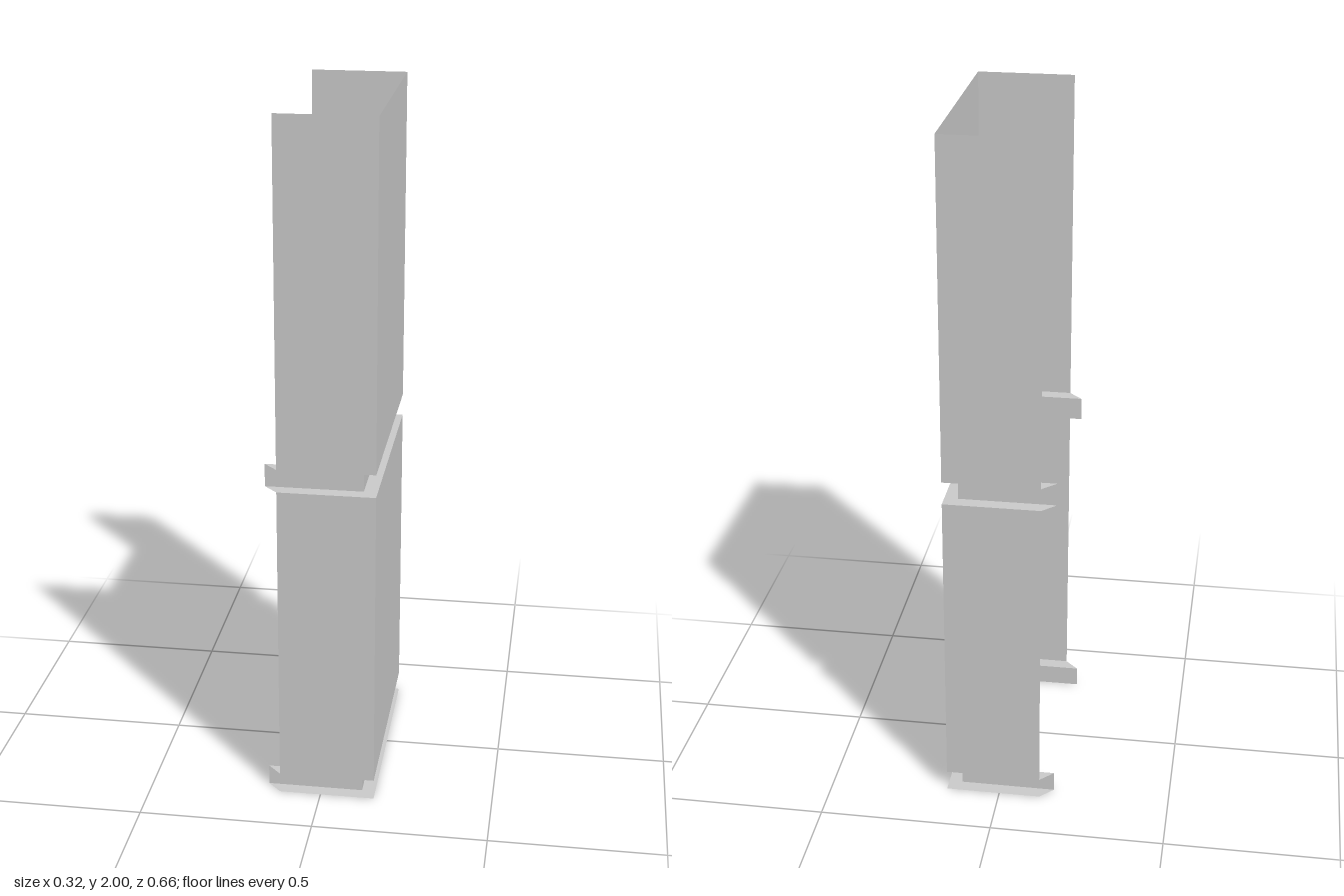
import * as THREE from 'three';

const material = new THREE.MeshStandardMaterial({ color: 0xcccccc, side: THREE.DoubleSide, flatShading: true });

// Plan paths [x, z] of the U-shaped sheet, open towards -x
const outer = [[-0.12, 0.331], [0.157, 0.331], [0.157, -0.331], [-0.12, -0.331]];
const inner = [[-0.159, 0.291], [0.118, 0.291], [0.118, -0.291], [-0.159, -0.291]];

// Sheet between a lower path and an upper path
function strip(name, lowPath, lowY, highPath, highY) {
  const positions = [];
  for (let i = 0; i < lowPath.length - 1; i++) {
    const a = [lowPath[i][0], lowY, lowPath[i][1]];
    const b = [lowPath[i + 1][0], lowY, lowPath[i + 1][1]];
    const c = [highPath[i + 1][0], highY, highPath[i + 1][1]];
    const d = [highPath[i][0], highY, highPath[i][1]];
    positions.push(...a, ...b, ...c, ...a, ...c, ...d);
  }
  const geometry = new THREE.BufferGeometry();
  geometry.setAttribute('position', new THREE.Float32BufferAttribute(positions, 3));
  geometry.computeVertexNormals();
  const mesh = new THREE.Mesh(geometry, material);
  mesh.name = name;
  return mesh;
}

export function createModel() {
  const group = new THREE.Group();
  group.name = 'groovedCladding';

  // Vertical panels and the recessed grooves below them
  group.add(
    strip('baseGroove', inner, 0, inner, 0.06),
    strip('lowerPanel', outer, 0.06, outer, 0.953),
    strip('middleGroove', inner, 0.953, inner, 1.02),
    strip('upperPanel', outer, 1.02, outer, 2)
  );

  // Flat ledges joining panels and grooves
  group.add(
    strip('baseLedge', outer, 0, inner, 0),
    strip('lowerPanelBottomLedge', inner, 0.06, outer, 0.06),
    strip('lowerPanelTopLedge', outer, 0.953, inner, 0.953),
    strip('upperPanelBottomLedge', inner, 1.02, outer, 1.02)
  );
  return group;
}
